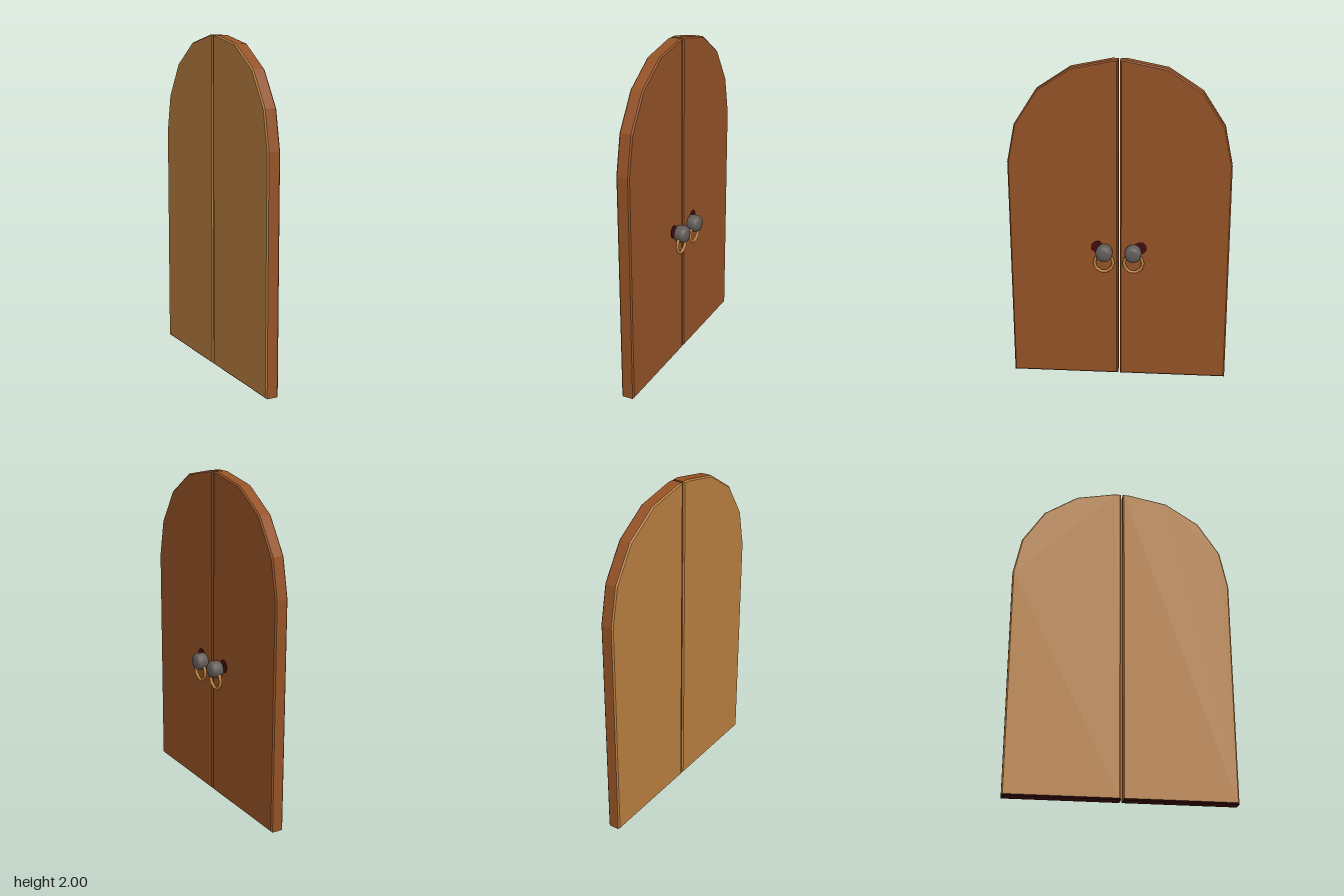
import * as THREE from 'three';

const material = (name, color) => {
  const m = new THREE.MeshStandardMaterial({ color });
  m.name = name;
  return m;
};

// Arched outline of one door leaf: [distance from the middle, height]
const OUTLINE = [
  [0.006, 0], [0.667, 0], [0.667, 1.385], [0.62, 1.615], [0.487, 1.82],
  [0.285, 1.952], [0.045, 2], [0.006, 2],
];
const BEVEL = 0.008, THICKNESS = 0.08;

// Bevelled slab, coloured by the direction each face points
function leafGeometry(side) {
  const shape = new THREE.Shape(OUTLINE.map(([d, y]) => new THREE.Vector2(-side * d, y)));
  const geo = new THREE.ExtrudeGeometry(shape, {
    depth: THICKNESS - 2 * BEVEL, bevelEnabled: true, bevelSegments: 1,
    bevelSize: BEVEL, bevelThickness: BEVEL, bevelOffset: -BEVEL,
  });
  geo.translate(0, 0, BEVEL - THICKNESS);
  geo.rotateY(Math.PI / 2);
  geo.computeVertexNormals();
  geo.clearGroups();
  const normal = geo.attributes.normal;
  for (let i = 0; i < normal.count; i += 3) {
    const back = normal.getX(i) < -0.3, bottom = normal.getY(i) < -0.5;
    geo.addGroup(i, 3, bottom ? 2 : back ? 1 : 0);
  }
  return geo;
}

export function createModel() {
  const wood = material('wood', 0x945226);
  const brass = material('brass', 0xb98040);
  const maroon = material('maroon', 0x430c0e);
  const iron = material('iron', 0x625c58);

  // Rounded knob profile, turned about the axis that points out of the door
  const knobGeo = new THREE.LatheGeometry(
    [[0.042, 0], [0.05, 0.008], [0.052, 0.025], [0.052, 0.045], [0.049, 0.06],
      [0.04, 0.071], [0.022, 0.076], [0, 0.077]].map(([r, h]) => new THREE.Vector2(r, h)), 16);
  knobGeo.rotateZ(-Math.PI / 2);

  const ringGeo = new THREE.TorusGeometry(0.058, 0.01, 8, 10);
  ringGeo.rotateY(Math.PI / 2);

  // Thin eight-sided plate
  const plateGeo = new THREE.CylinderGeometry(0.041, 0.041, 0.004, 8, 1, false, Math.PI / 8);
  plateGeo.rotateZ(-Math.PI / 2);

  const model = new THREE.Group();
  model.name = 'doubleDoor';

  for (const side of [1, -1]) {
    const door = new THREE.Group();
    door.name = side > 0 ? 'leftDoor' : 'rightDoor';
    const add = (name, geo, mat, x, y, z) => {
      const mesh = new THREE.Mesh(geo, mat);
      mesh.name = name;
      mesh.position.set(x, y, side * z);
      door.add(mesh);
    };
    add('doorLeaf', leafGeometry(side), [wood, brass, maroon], 0, 0, 0);
    add('keyPlate', plateGeo, maroon, 0.001, 0.858, 0.131);
    add('knob', knobGeo, iron, 0, 0.833, 0.088);
    add('pullRing', ringGeo, brass, 0.032, 0.77, 0.09);
    model.add(door);
  }
  return model;
}
